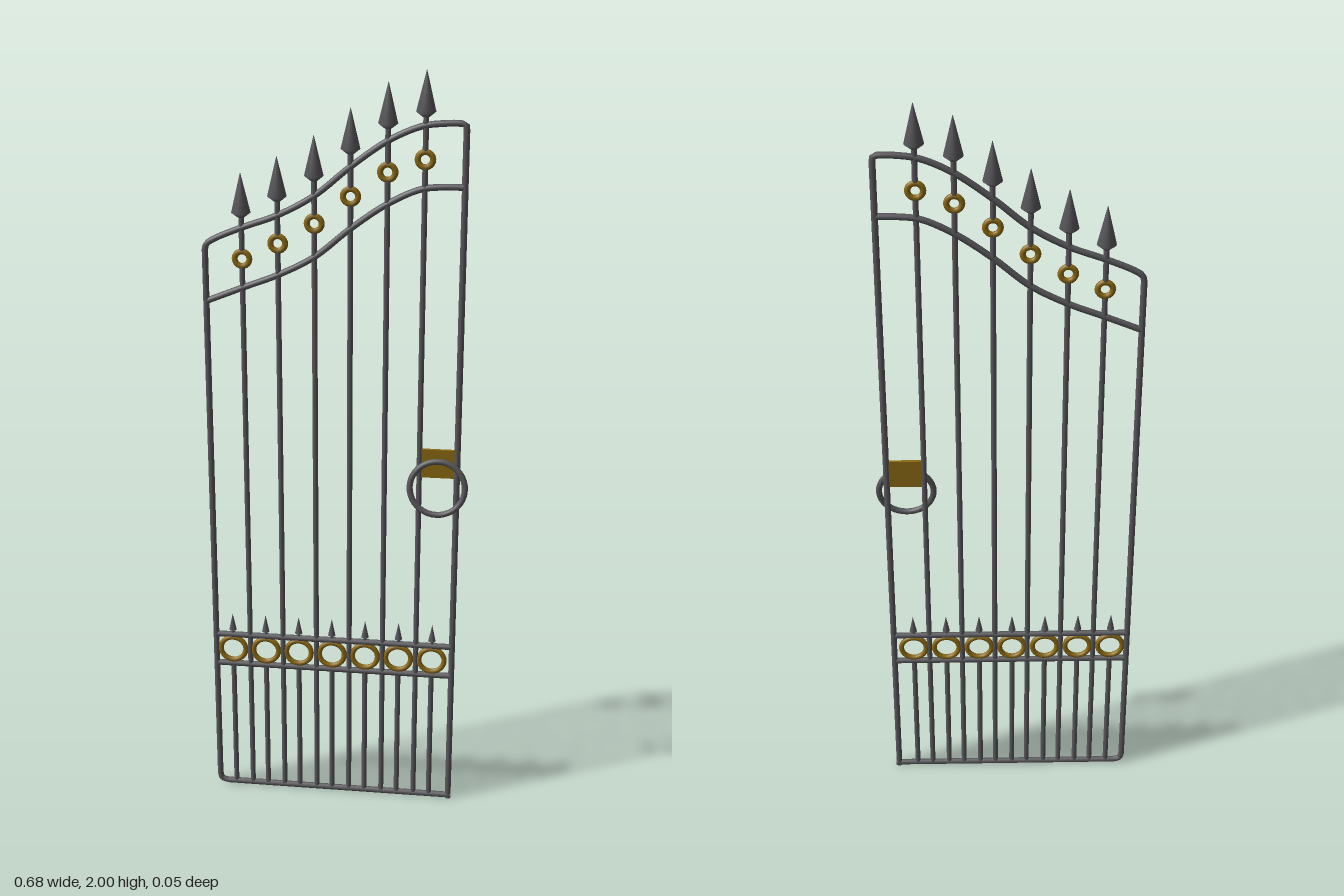
import * as THREE from 'three';

const IRON = new THREE.MeshStandardMaterial({ color: 0x58585c });
const GOLD = new THREE.MeshStandardMaterial({ color: 0x8c6a14 });
const Z = -0.007; // plane of the gate
const R = 0.008; // bar radius

export function createModel() {
  const gate = new THREE.Group();
  gate.name = 'gate';

  const add = (name, geometry, material, x = 0, y = 0, z = Z) => {
    const mesh = new THREE.Mesh(geometry, material);
    mesh.name = name;
    mesh.position.set(x, y, z);
    gate.add(mesh);
    return mesh;
  };
  const bar = (name, x, y0, y1, r = 0.007) =>
    add(name, new THREE.CylinderGeometry(r, r, y1 - y0, 12), IRON, x, (y0 + y1) / 2);
  const rail = (name, x0, x1, y) => {
    const mesh = add(name, new THREE.CylinderGeometry(R, R, x1 - x0, 12), IRON, (x0 + x1) / 2, y);
    mesh.rotation.z = Math.PI / 2;
  };
  const tube = (name, points, segments) => {
    const curve = new THREE.CatmullRomCurve3(points.map(([x, y]) => new THREE.Vector3(x, y, 0)), false, 'centripetal');
    add(name, new THREE.TubeGeometry(curve, segments, R, 10), IRON);
  };

  // Outer frame: posts, bottom rail and rounded corners
  const left = -0.332, right = 0.308, bottom = 0.01;
  bar('leftPost', right, bottom - 0.008, 1.862, R);
  bar('rightPost', left, 0.03, 1.55, R);
  rail('bottomRail', left + 0.02, right + 0.008, bottom);
  tube('bottomCorner', [[left, 0.032], [left + 0.005, 0.016], [left + 0.022, bottom]], 8);

  // Two sweeping top rails
  tube('upperTopRail', [[left, 1.548], [left + 0.004, 1.562], [-0.31, 1.575], [-0.239, 1.606], [-0.149, 1.64],
    [-0.058, 1.691], [0.031, 1.765], [0.121, 1.83], [0.2, 1.866], [0.25, 1.874], [0.296, 1.875],
    [0.306, 1.872], [right, 1.86]], 72);
  tube('lowerTopRail', [[left, 1.415], [-0.239, 1.453], [-0.149, 1.489], [-0.058, 1.538], [0.031, 1.612],
    [0.121, 1.676], [0.2, 1.714], [0.25, 1.721], [right, 1.722]], 56);

  // Tall bars, each with a gold ring and a spear head
  const spear = [[0, -0.012], [0.009, -0.012], [0.024, 0], [0.0005, 0.098]].map(p => new THREE.Vector2(...p));
  const tall = [[-0.239, 1.527, 1.743], [-0.149, 1.569, 1.786], [-0.058, 1.622, 1.839],
    [0.031, 1.692, 1.907], [0.121, 1.754, 1.97], [0.211, 1.787, 2.0]];
  for (const [x, ringY, tipY] of tall) {
    bar('tallBar', x, bottom, ringY - 0.018);
    bar('spearShaft', x, ringY + 0.018, tipY - 0.105);
    add('smallRing', new THREE.TorusGeometry(0.0185, 0.0075, 10, 24), GOLD, x, ringY);
    add('spearHead', new THREE.LatheGeometry(spear, 16), IRON, x, tipY - 0.098, -0.005);
  }

  // Lower band: two rails, gold rings, short bars and spikes
  rail('lowerBandRail', left, right, 0.386);
  rail('upperBandRail', left, right, 0.474);
  for (let i = 0; i < 7; i++) {
    const x = -0.286 + i * 0.09;
    bar('shortBar', x, bottom, 0.386);
    add('bandRing', new THREE.TorusGeometry(0.034, 0.007, 10, 28), GOLD, x, 0.431);
    bar('spikeStem', x, 0.474, 0.495, 0.004);
    add('spike', new THREE.ConeGeometry(0.01, 0.048, 12), IRON, x, 0.513);
  }

  // Lock plate and tilted ring handle
  add('lockPlate', new THREE.BoxGeometry(0.097, 0.077, 0.008), GOLD, 0.26, 1.003);
  const handle = add('ringHandle', new THREE.TorusGeometry(0.071, 0.008, 12, 40), IRON, 0.259, 0.94, 0.007);
  handle.rotation.x = -0.13;

  return gate;
}
